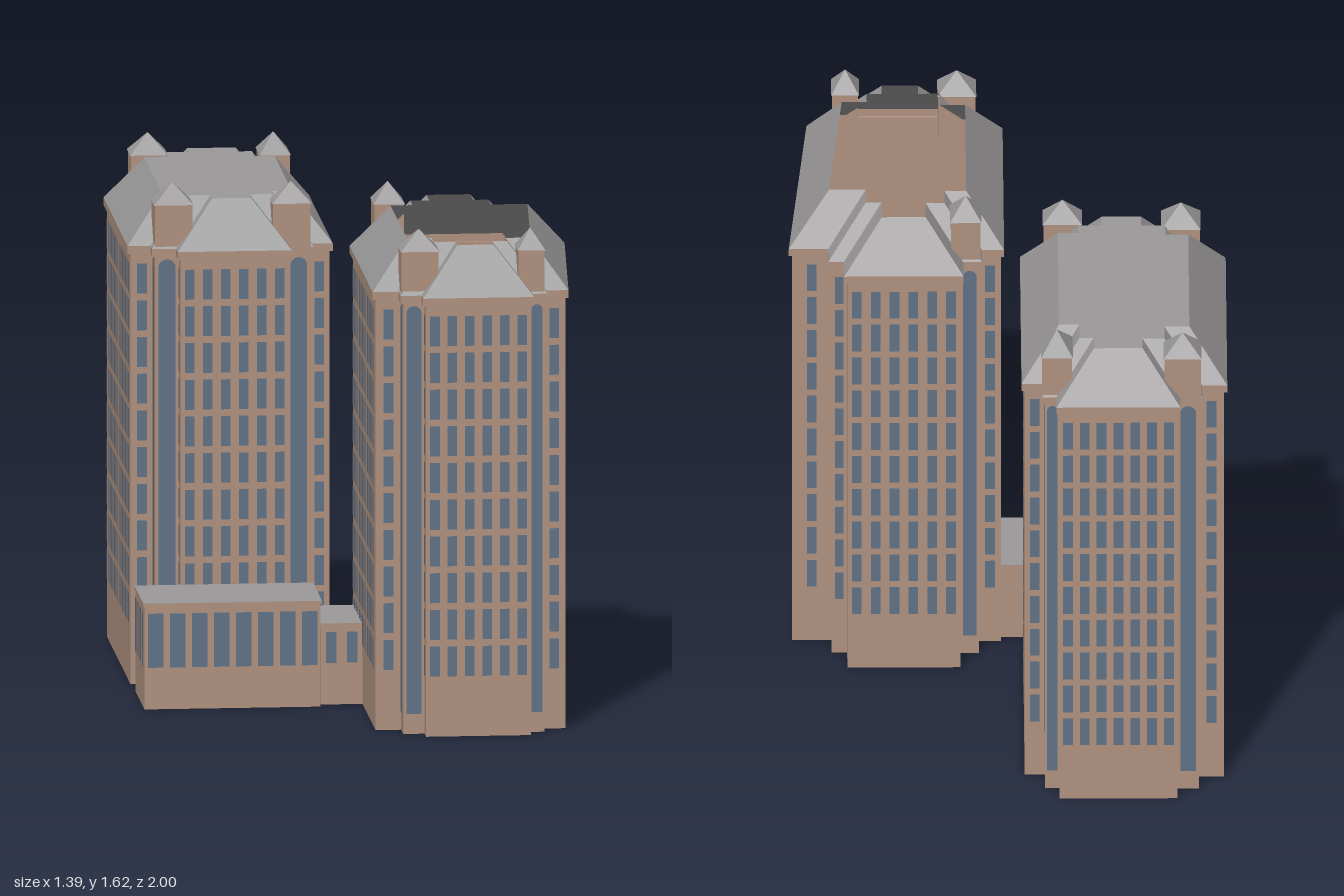
import * as THREE from 'three';
import { mergeGeometries } from 'three/addons/utils/BufferGeometryUtils.js';

const material = (name, color) => {
  const m = new THREE.MeshStandardMaterial({ color, side: THREE.DoubleSide });
  m.name = name;
  return m;
};

// Footprints as [x, z], anticlockwise from above; five points per stepped corner
const REAR = [
  [-0.69, -0.01], [-0.617, -0.01], [-0.617, 0.05], [-0.54, 0.05], [-0.54, 0.11],
  [-0.195, 0.11], [-0.195, 0.05], [-0.12, 0.05], [-0.12, 0], [-0.055, 0],
  [-0.055, -0.83], [-0.12, -0.83], [-0.12, -0.92], [-0.165, -0.92], [-0.165, -0.99],
  [-0.54, -0.99], [-0.54, -0.925], [-0.61, -0.925], [-0.61, -0.845], [-0.69, -0.845],
];
const FRONT = [
  [0.015, 0.86], [0.097, 0.86], [0.097, 0.935], [0.165, 0.935], [0.165, 0.99],
  [0.5, 0.99], [0.5, 0.935], [0.548, 0.935], [0.548, 0.88], [0.62, 0.88],
  [0.68, 0.075], [0.555, 0.075], [0.555, -0.01], [0.505, -0.01], [0.505, -0.11],
  [0.145, -0.11], [0.145, -0.015], [0.085, -0.015], [0.085, 0.065], [0.015, 0.065],
];
const rect = (x0, x1, z0, z1) => [[x0, z1], [x1, z1], [x1, z0], [x0, z0]];

// Mitred offset of a footprint, positive outwards
function offset(poly, o) {
  const n = poly.length;
  const normal = (i) => {
    const [ax, az] = poly[(i + n) % n], [bx, bz] = poly[(i + 1) % n];
    const l = Math.hypot(bx - ax, bz - az);
    return [-(bz - az) / l, (bx - ax) / l];
  };
  return poly.map(([x, z], i) => {
    const a = normal(i - 1), b = normal(i);
    const k = o / (1 + a[0] * b[0] + a[1] * b[1]);
    return [x + k * (a[0] + b[0]), z + k * (a[1] + b[1])];
  });
}

// Flat-sided skin through rings given as [offset, height]
function skin(poly, rings) {
  const pos = [];
  const loops = rings.map(([o, y]) => offset(poly, o).map(([x, z]) => [x, y, z]));
  for (let r = 0; r + 1 < loops.length; r++) {
    const a = loops[r], b = loops[r + 1];
    a.forEach((p, i) => {
      const j = (i + 1) % a.length;
      pos.push(...p, ...a[j], ...b[j], ...p, ...b[j], ...b[i]);
    });
  }
  const g = new THREE.BufferGeometry();
  g.setAttribute('position', new THREE.Float32BufferAttribute(pos, 3));
  g.computeVertexNormals();
  return g;
}

function cap(poly, o, y) {
  const shape = new THREE.Shape(offset(poly, o).map(([x, z]) => new THREE.Vector2(x, -z)));
  return new THREE.ShapeGeometry(shape).rotateX(-Math.PI / 2).translate(0, y, 0);
}

// Move a pane, centred on x and facing +z, to fraction t of the wall from p to q
function place(g, p, q, t) {
  const dx = q[0] - p[0], dz = q[1] - p[1], l = Math.hypot(dx, dz), lift = 0.003;
  return g.rotateY(Math.atan2(-dz, dx))
    .translate(p[0] + dx * t - (dz / l) * lift, 0, p[1] + dz * t + (dx / l) * lift);
}
const length = (p, q) => Math.hypot(q[0] - p[0], q[1] - p[1]);

function archPane(w, y0, y1) {
  const r = w / 2, s = new THREE.Shape();
  s.moveTo(-r, y0);
  s.lineTo(r, y0);
  s.lineTo(r, y1 - r);
  s.absarc(0, y1 - r, r, 0, Math.PI);
  s.lineTo(-r, y0);
  return new THREE.ShapeGeometry(s, 6);
}

// Row of equal panes along a wall
function paneRow(p, q, cols, w, y0, y1) {
  return Array.from({ length: cols }, (_, c) =>
    place(new THREE.PlaneGeometry(w, y1 - y0).translate(0, (y0 + y1) / 2, 0), p, q, (c + 0.5) / cols));
}

export function createModel() {
  const model = new THREE.Group();
  const wall = material('wall tan', 0xb09280);
  const roof = material('roof grey', 0x9b9999);
  const glass = material('window blue', 0x607387);
  glass.side = THREE.FrontSide;

  const add = (parent, name, geometry, mat) => {
    const m = new THREE.Mesh(geometry, mat);
    m.name = name;
    parent.add(m);
    return m;
  };

  function tower(name, poly, turrets, hasDeck, plainCorner) {
    const g = new THREE.Group();
    g.name = name;
    model.add(g);
    add(g, 'walls', skin(poly, [[0, 0], [0, 1.395]]), wall);
    add(g, 'cornice', skin(poly, [[0, 1.395], [0.01, 1.395], [0.01, 1.42]]), wall);
    add(g, 'mansardRoof', skin(poly, [[0.01, 1.42], [-0.11, 1.57]]), roof);
    if (hasDeck) add(g, 'roofDeck', cap(poly, -0.11, 1.57), roof);

    // Tall arched panes on the corner bays, ten rows of panes elsewhere
    const panes = [];
    poly.forEach((p, i) => {
      const q = poly[(i + 1) % poly.length], l = length(p, q);
      const bay = (i % 5 === 1 || i % 5 === 2) && Math.floor(i / 5) !== plainCorner;
      if (bay) {
        panes.push(place(archPane(Math.min(0.06, l * 0.72), i === 11 ? 0.19 : 0.065, 1.385), p, q, 0.5));
        return;
      }
      const cols = i % 5 === 4 ? Math.round(l / 0.0565) : 1;
      for (let r = 0; r < 10; r++) {
        const y = 0.195 + r * 0.1188;
        panes.push(...paneRow(p, q, cols, Math.min(0.031, l * 0.55), y, y + 0.097));
      }
    });
    add(g, 'windows', mergeGeometries(panes.map((p) => p.toNonIndexed())), glass);

    // Corner turrets with pyramid caps
    for (const [x0, x1, z0, z1] of turrets) {
      const t = new THREE.Group();
      t.name = 'turret';
      t.position.set((x0 + x1) / 2, 0, (z0 + z1) / 2);
      g.add(t);
      const w = x1 - x0, d = z1 - z0;
      add(t, 'turretWalls', new THREE.BoxGeometry(w, 0.15, d).translate(0, 1.485, 0), wall);
      const pyramid = new THREE.ConeGeometry(Math.SQRT1_2, 0.065, 4).toNonIndexed();
      pyramid.rotateY(Math.PI / 4).scale(w + 0.006, 1, d + 0.006).translate(0, 1.5925, 0);
      pyramid.computeVertexNormals();
      add(t, 'turretCap', pyramid, roof);
    }
  }

  tower('rearTower', REAR, [
    [-0.617, -0.497, -0.07, 0.055], [-0.24, -0.12, -0.035, 0.06],
    [-0.205, -0.11, -0.925, -0.785], [-0.615, -0.5, -0.935, -0.82],
  ], true, -1);
  tower('frontTower', FRONT, [
    [0.092, 0.21, 0.825, 0.935], [0.465, 0.548, 0.835, 0.94], [0.08, 0.175, -0.02, 0.1],
  ], false, 2);

  // Low wings: [name, footprint, height, pane rows]
  function wing(name, poly, h, rows) {
    const g = new THREE.Group();
    g.name = name;
    model.add(g);
    add(g, 'walls', skin(poly, [[0, 0], [0, h - 0.01], [0.004, h - 0.01], [0.004, h]]), wall);
    add(g, 'flatRoof', cap(poly, 0.004, h), roof);
    const panes = rows.flatMap(([e, cols, w, y0, y1]) =>
      paneRow(poly[e], poly[(e + 1) % 4], cols, w, y0, y1));
    add(g, 'windows', mergeGeometries(panes), glass);
  }
  wing('lowWing', rect(-0.685, -0.122, 0.122, 0.435), 0.343,
    [[0, 8, 0.049, 0.135, 0.31], [3, 4, 0.049, 0.135, 0.31]]);
  wing('linkBlock', rect(-0.118, 0.015, 0.09, 0.4), 0.263, [[0, 2, 0.034, 0.135, 0.235]]);

  return model;
}
